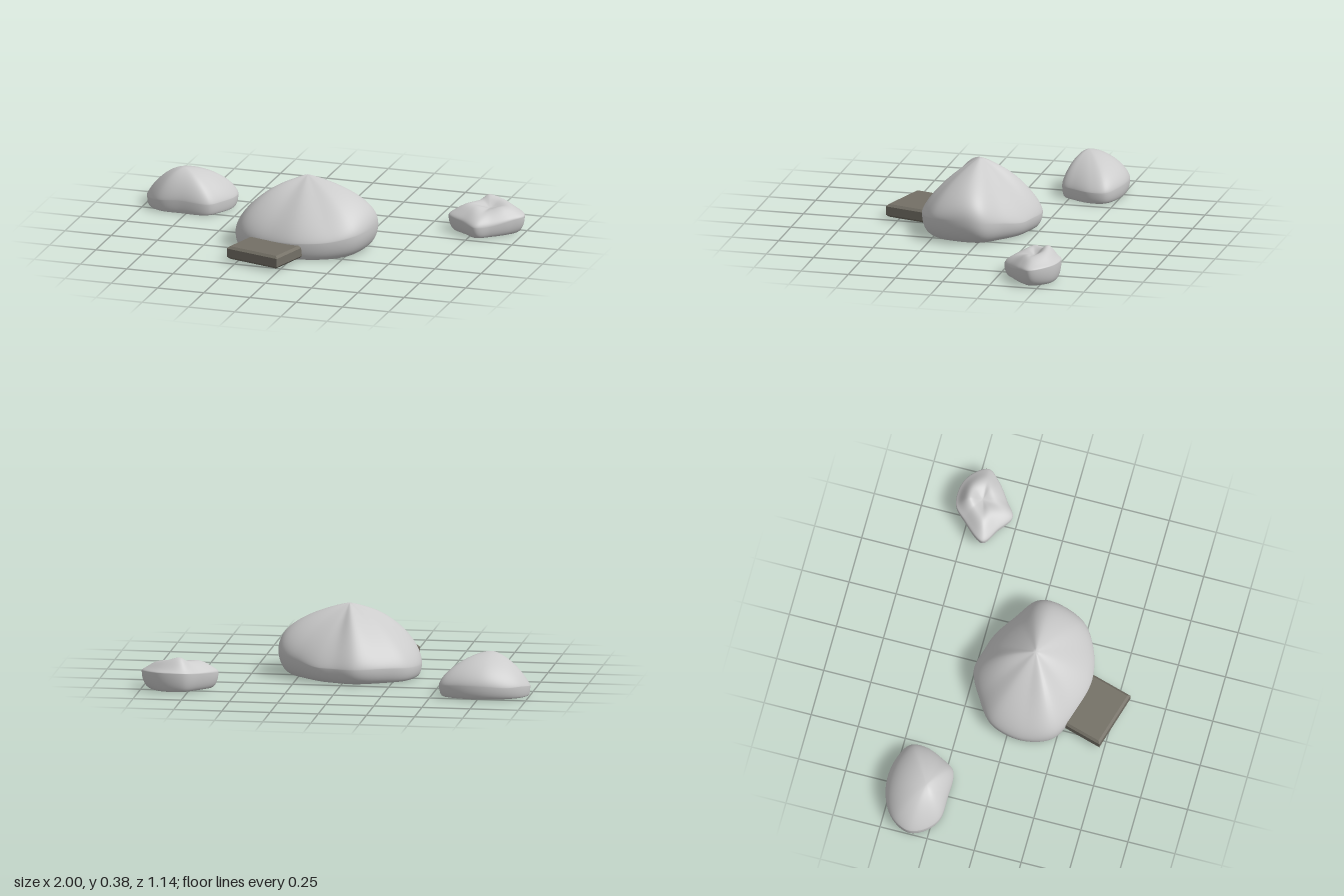
import * as THREE from 'three';

const stone = new THREE.MeshStandardMaterial({ color: 0xcccccc });
const slate = new THREE.MeshStandardMaterial({ color: 0x747066 });

// A boulder swept from an apex down to its outline and tucked under to a flat base.
// Each outline column: [x, z, height of widest point, slope exponent, base scale, hump height]
function boulder(name, apex, power, columns) {
  const outline = new THREE.CatmullRomCurve3(columns.map(c => new THREE.Vector3(c[0], c[2], c[1])), true);
  const shape = new THREE.CatmullRomCurve3(columns.map(c => new THREE.Vector3(c[3], c[4], c[5])), true, 'catmullrom', 0.5);
  const [cx, top, cz] = apex;
  const N = 96, UP = 26, DOWN = 10;
  const pos = [cx, top, cz], index = [];
  const rim = [];
  for (let j = 0; j < N; j++) rim.push([outline.getPoint(j / N), shape.getPoint(j / N)]);

  // upper surface, then the rounded underside
  for (let i = 1; i <= UP + DOWN; i++) {
    for (const [o, s] of rim) {
      let r, y;
      if (i <= UP) {
        r = Math.sin((i / UP) * Math.PI / 2);
        y = o.y + (top - o.y) * Math.pow(Math.max(0, 1 - Math.pow(r, power)), s.x)
          + s.z * Math.sin(Math.PI * r) ** 2;
      } else {
        const a = ((i - UP) / DOWN) * Math.PI / 2;
        r = s.y + (1 - s.y) * Math.cos(a);
        y = o.y * (1 - Math.sin(a));
      }
      pos.push(cx + r * (o.x - cx), y, cz + r * (o.z - cz));
    }
  }
  const id = (i, j) => 1 + (i - 1) * N + (j % N);
  for (let j = 0; j < N; j++) {
    index.push(0, id(1, j + 1), id(1, j));
    for (let i = 1; i < UP + DOWN; i++) {
      const a = id(i, j), b = id(i, j + 1), c = id(i + 1, j), d = id(i + 1, j + 1);
      index.push(a, b, c, b, d, c);
    }
  }

  // flat base with its own vertices so its edge stays crisp
  const start = pos.length / 3;
  pos.push(cx, 0, cz);
  for (const [o, s] of rim) pos.push(cx + s.y * (o.x - cx), 0, cz + s.y * (o.z - cz));
  for (let j = 0; j < N; j++) index.push(start, start + 1 + j, start + 1 + (j + 1) % N);

  const geo = new THREE.BufferGeometry();
  geo.setAttribute('position', new THREE.Float32BufferAttribute(pos, 3));
  // apex fan follows the same winding as the rows below
  for (let j = 0; j < N; j++) {
    const k = j * (3 + (UP + DOWN - 1) * 6);
    index[k + 1] = id(1, j + 1);
    index[k + 2] = id(1, j);
  }
  geo.setIndex(index);
  geo.computeVertexNormals();
  const mesh = new THREE.Mesh(geo, stone);
  mesh.name = name;
  return mesh;
}

// Rectangular plaque with chamfered edges, lying flat
function makePlaque() {
  const w = 0.31, l = 0.34, h = 0.068, bevel = 0.012;
  const x = w / 2 - bevel, z = l / 2 - bevel;
  const outline = new THREE.Shape([[-x, -z], [x, -z], [x, z], [-x, z]].map(p => new THREE.Vector2(...p)));
  const geo = new THREE.ExtrudeGeometry(outline, {
    depth: h - 2 * bevel, bevelEnabled: true, bevelSize: bevel, bevelThickness: bevel, bevelSegments: 1,
  });
  geo.rotateX(-Math.PI / 2);
  geo.translate(0, bevel, -l / 2);
  const mesh = new THREE.Mesh(geo, slate);
  mesh.name = 'plaque';
  mesh.position.set(-0.15, 0.016, 0.52);
  mesh.rotation.y = -0.28;
  return mesh;
}

export function createModel() {
  const group = new THREE.Group();
  group.name = 'boulders';

  // large central boulder with three ridges running down from its peak
  group.add(boulder('mainBoulder', [0, 0.375, 0.06], 1.18, [
    [-0.075, -0.25, 0.08, 0.66, 0.84, 0.01],
    [0.05, -0.225, 0.08, 0.75, 0.84, 0],
    [0.14, -0.195, 0.08, 0.75, 0.82, 0],
    [0.245, -0.12, 0.1, 0.66, 0.8, 0],
    [0.35, -0.03, 0.12, 0.48, 0.76, 0],
    [0.362, 0.07, 0.13, 0.44, 0.76, 0],
    [0.31, 0.23, 0.12, 0.62, 0.8, 0],
    [0.19, 0.315, 0.1, 0.75, 0.86, 0],
    [0.03, 0.352, 0.09, 0.75, 0.9, 0],
    [-0.13, 0.32, 0.08, 0.72, 0.93, 0],
    [-0.315, 0.24, 0.07, 0.5, 0.94, 0.01],
    [-0.37, 0.08, 0.06, 0.6, 0.94, 0],
    [-0.33, -0.09, 0.07, 0.68, 0.92, 0],
    [-0.22, -0.18, 0.08, 0.72, 0.88, 0],
  ]));

  // medium boulder with a blunt top
  group.add(boulder('mediumBoulder', [-0.79, 0.218, -0.31], 1.7, [
    [-0.78, -0.525, 0.07, 0.6, 0.88, 0],
    [-0.65, -0.512, 0.07, 0.6, 0.9, 0],
    [-0.55, -0.46, 0.06, 0.65, 0.92, 0],
    [-0.54, -0.38, 0.06, 0.75, 0.94, 0],
    [-0.58, -0.28, 0.06, 0.75, 0.94, 0],
    [-0.63, -0.21, 0.06, 0.75, 0.92, 0],
    [-0.78, -0.2, 0.07, 0.65, 0.88, 0],
    [-0.9, -0.21, 0.06, 0.75, 0.9, 0],
    [-0.97, -0.27, 0.05, 0.85, 0.94, 0],
    [-1.0, -0.35, 0.05, 0.85, 0.96, 0],
    [-0.97, -0.43, 0.06, 0.8, 0.94, 0],
    [-0.9, -0.49, 0.06, 0.7, 0.9, 0],
  ]));

  // small boulder with a hollow between its raised lobes
  group.add(boulder('smallBoulder', [0.82, 0.125, -0.44], 2, [
    [0.77, -0.572, 0.1, 0.5, 0.78, 0.052],
    [0.91, -0.56, 0.1, 0.5, 0.78, 0.035],
    [1.0, -0.46, 0.09, 0.5, 0.72, 0.022],
    [0.95, -0.39, 0.08, 0.5, 0.76, 0.02],
    [0.86, -0.32, 0.06, 0.55, 0.82, 0.01],
    [0.79, -0.275, 0.06, 0.55, 0.84, 0.005],
    [0.7, -0.33, 0.07, 0.5, 0.84, 0.02],
    [0.612, -0.39, 0.08, 0.45, 0.8, 0.025],
    [0.7, -0.51, 0.09, 0.5, 0.78, 0.03],
  ]));

  group.add(makePlaque());
  return group;
}
